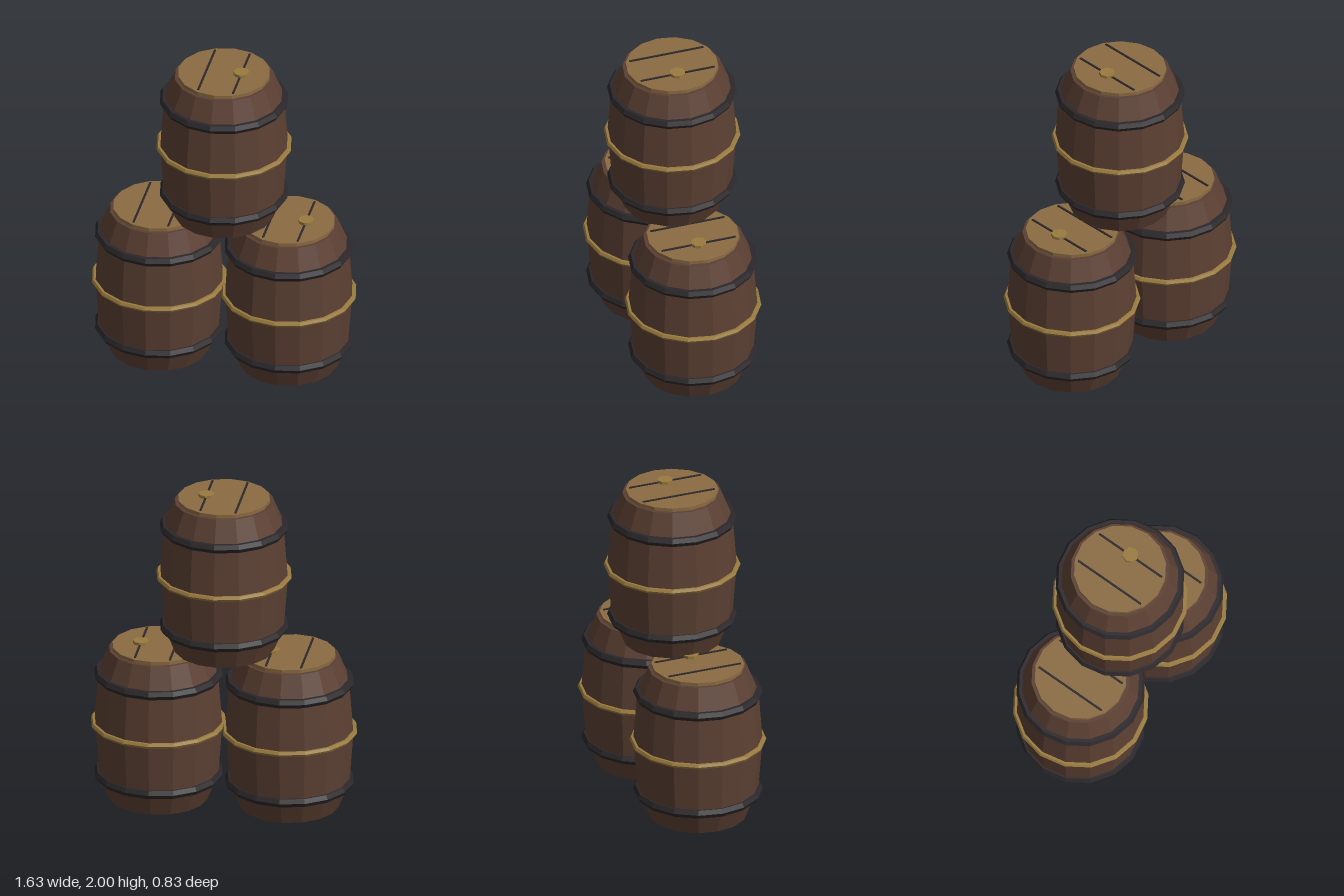
import * as THREE from 'three';

const SIDES = 16;

function material(name, color) {
  const m = new THREE.MeshStandardMaterial({ color });
  m.name = name;
  return m;
}

// Give a geometry hard facets
function faceted(geometry) {
  const g = geometry.index ? geometry.toNonIndexed() : geometry;
  g.computeVertexNormals();
  return g;
}

function lathe(points) {
  return faceted(new THREE.LatheGeometry(points.map(([r, y]) => new THREE.Vector2(r, y)), SIDES));
}

// Horizontal ring with a polygonal section
function ring(radius, tube) {
  return faceted(new THREE.TorusGeometry(radius, tube, 6, SIDES).rotateX(Math.PI / 2));
}

export function createModel() {
  const stave = material('stave wood', 0x5c4033);
  const lidWood = material('lid wood', 0x8b6b42);
  const iron = material('dark iron', 0x2b272a);
  const brass = material('brass', 0x9a7b3f);

  const bodyGeo = lathe([
    [0, 0], [0.3, 0], [0.365, 0.16], [0.39, 0.49], [0.365, 0.81], [0.3, 0.97], [0, 0.97],
  ]);
  const lidGeo = faceted(new THREE.CylinderGeometry(0.28, 0.28, 0.03, SIDES));
  const seamGeo = new THREE.BoxGeometry(0.012, 0.009, 0.47);
  const bungGeo = faceted(new THREE.CylinderGeometry(0.048, 0.048, 0.025, 8));
  const hoopGeo = ring(0.362, 0.03);
  const bandGeo = ring(0.395, 0.018);

  function barrel(name, x, y) {
    const group = new THREE.Group();
    group.name = name;
    group.position.set(x, y, 0);
    const add = (part, geometry, mat, px, py) => {
      const mesh = new THREE.Mesh(geometry, mat);
      mesh.name = part;
      mesh.position.set(px, py, 0);
      group.add(mesh);
    };
    add('body', bodyGeo, stave, 0, 0);
    add('lid', lidGeo, lidWood, 0, 0.977);
    add('bung', bungGeo, brass, 0.107, 0.9975);
    add('middleBand', bandGeo, brass, 0, 0.49);
    // Iron hoops below and above the middle
    add('lowerHoop', hoopGeo, iron, 0, 0.16);
    add('upperHoop', hoopGeo, iron, 0, 0.808);
    // Seams between the lid boards
    add('leftSeam', seamGeo, iron, 0.107, 0.9935);
    add('rightSeam', seamGeo, iron, -0.107, 0.9935);
    return group;
  }

  const model = new THREE.Group();
  model.name = 'barrelStack';
  model.add(
    barrel('rightBarrel', -0.4, 0),
    barrel('leftBarrel', 0.4, 0),
    barrel('topBarrel', 0, 0.99),
  );
  return model;
}
